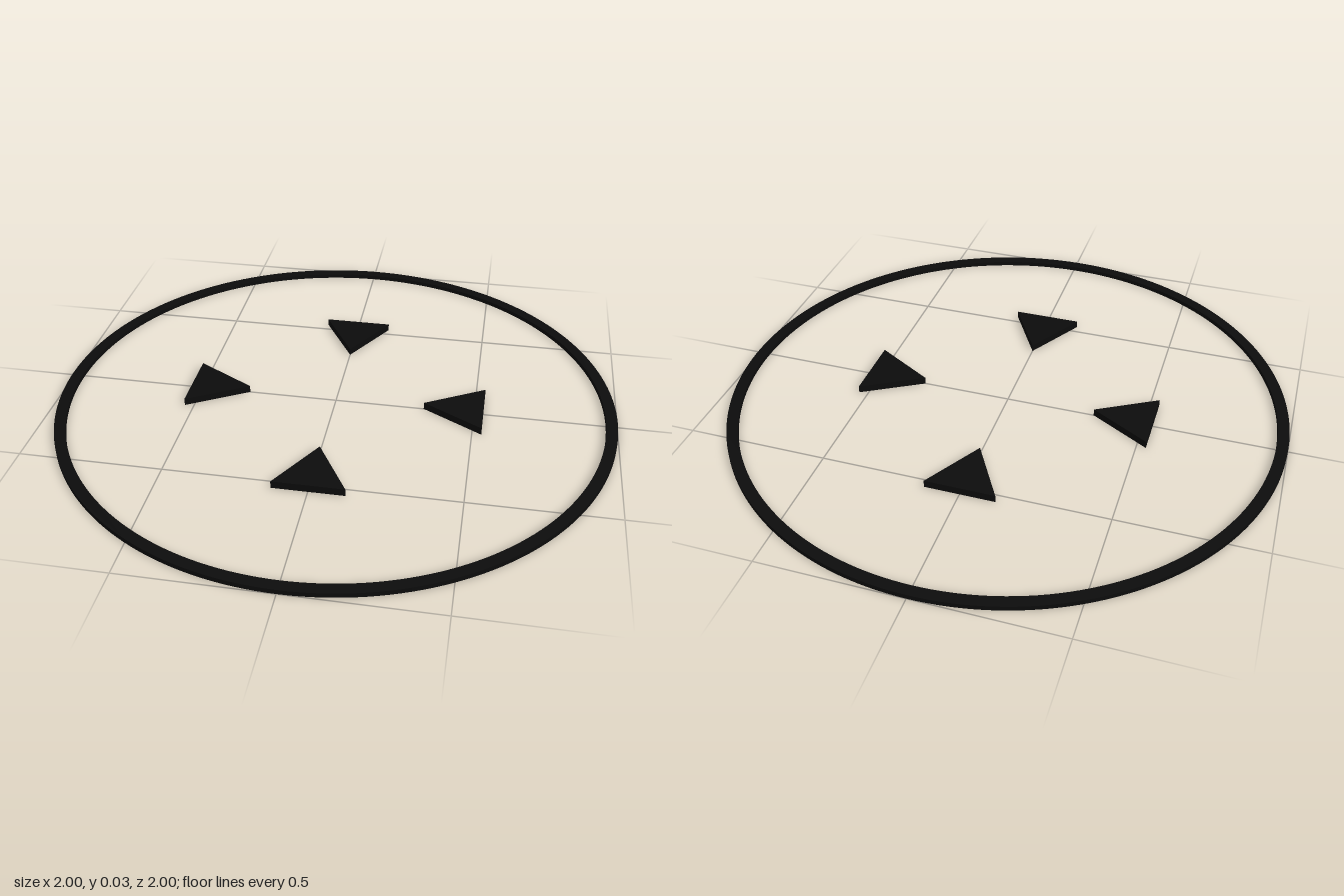
import * as THREE from 'three';

const RING_HEIGHT = 0.016;
const ARROW_HEIGHT = 0.026;

// Extrudes a flat shape upward from the ground
function plate(shape, height, curveSegments = 12) {
  const geometry = new THREE.ExtrudeGeometry(shape, { depth: height, bevelEnabled: false, curveSegments });
  return geometry.rotateX(-Math.PI / 2);
}

export function createModel() {
  const model = new THREE.Group();
  model.name = 'targetMarker';
  const black = new THREE.MeshStandardMaterial({ color: 0x0c0c0c });

  // Outer circle: a thin flat band
  const band = new THREE.Shape().absarc(0, 0, 1, 0, Math.PI * 2, false);
  band.holes.push(new THREE.Path().absarc(0, 0, 0.96, 0, Math.PI * 2, true));
  const ring = new THREE.Mesh(plate(band, RING_HEIGHT, 96), black);
  ring.name = 'outerRing';
  model.add(ring);

  // Four equilateral arrowheads pointing at the centre
  const triangle = new THREE.Shape([
    new THREE.Vector2(0.32, 0),
    new THREE.Vector2(0.533, -0.123),
    new THREE.Vector2(0.533, 0.123),
  ]);
  const arrowGeometry = plate(triangle, ARROW_HEIGHT);
  ['left', 'back', 'right', 'front'].forEach((side, i) => {
    const arrow = new THREE.Mesh(arrowGeometry, black);
    arrow.name = `${side}Arrowhead`;
    arrow.rotation.y = i * Math.PI / 2;
    model.add(arrow);
  });

  return model;
}
